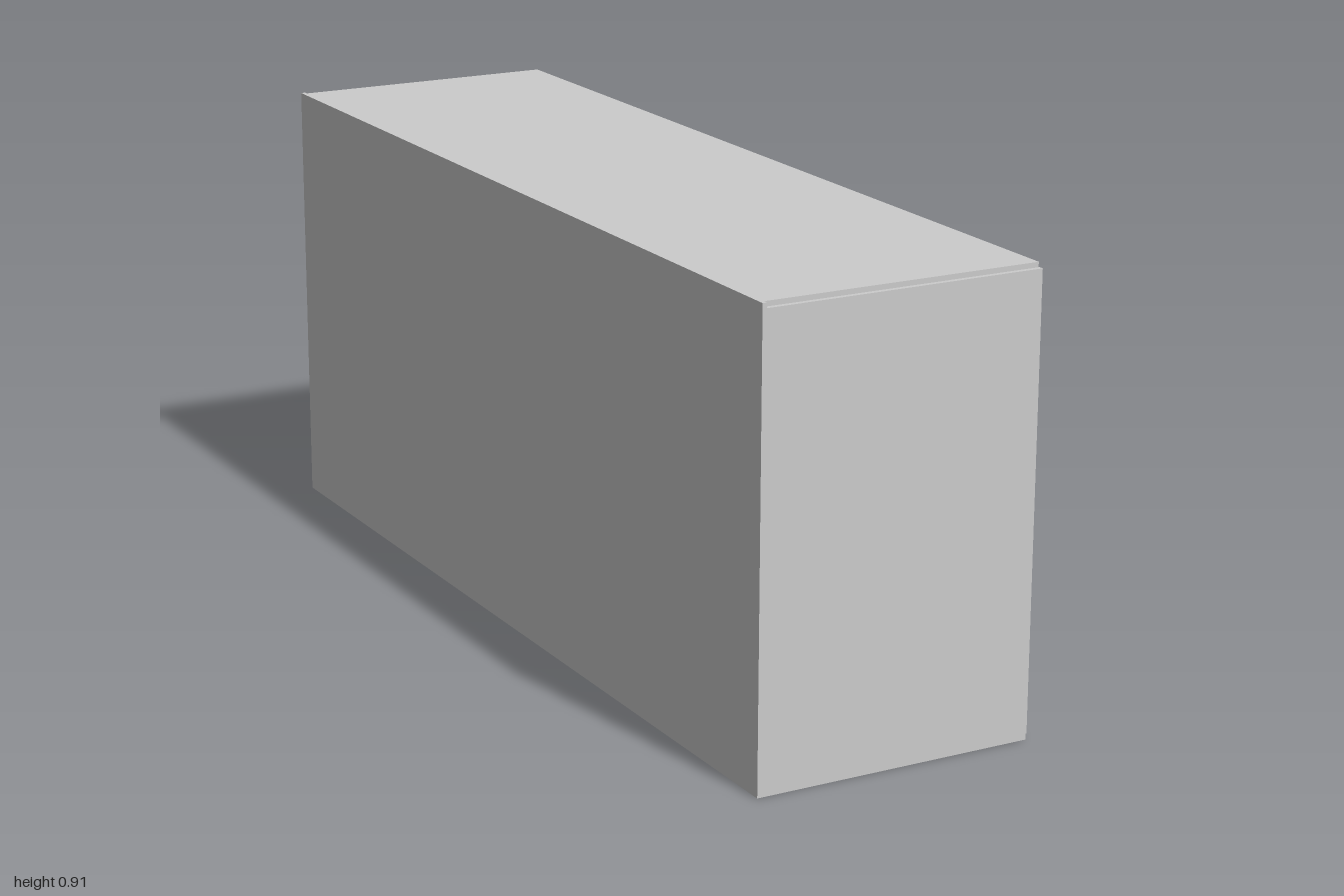
import * as THREE from 'three';

const material = new THREE.MeshStandardMaterial({ color: 0xcccccc, flatShading: true });

export function createModel() {
  const group = new THREE.Group();
  group.name = 'sideboard';

  // Board given by its minimum and maximum corners
  const board = (name, [x0, y0, z0], [x1, y1, z1]) => {
    const mesh = new THREE.Mesh(new THREE.BoxGeometry(x1 - x0, y1 - y0, z1 - z0), material);
    mesh.position.set((x0 + x1) / 2, (y0 + y1) / 2, (z0 + z1) / 2);
    mesh.name = name;
    group.add(mesh);
  };

  // Carcass: boards butt together, leaving small rebates at the end edges
  const back = -0.297, inner = -0.288, face = 0.277, t = 0.01, H = 0.91;
  board('backPanel', [back, 0, -1], [inner, H, 1]);
  board('topPanel', [inner, H - t, -1 + t], [face, H, 1 - t]);
  board('bottomPanel', [inner, 0, -1 + t], [face, t, 1]);
  board('endPanel', [inner, t, 1 - t], [face, H - t, 1]);
  board('endPanel', [inner, t, -1], [face, H - t, -1 + t]);

  // Doors and drawer fronts
  const front = 0.279, split = -0.333, y0 = 0.012, y1 = 0.9;
  board('door', [0.268, y0, 0.333], [front, y1, 1]);
  board('door', [0.268, y0, split], [front, y1, 0.3325]);
  board('drawerFront', [0.268, y0, -1], [front, 0.455, split - 0.0005]);
  board('drawerFront', [0.268, 0.457, -1], [front, y1, split - 0.0005]);

  // Bracket handles: bar with two tapered feet, extruded upwards
  const handle = (name, z, y, length, height, out) => {
    const a = length / 2, d = out - front;
    const shape = new THREE.Shape([
      [-a, 0], [-a + 0.028, 0], [-a + 0.018, d - 0.004], [a - 0.018, d - 0.004],
      [a - 0.028, 0], [a, 0], [a, d], [-a, d],
    ].map(([u, v]) => new THREE.Vector2(u, v)));
    const geometry = new THREE.ExtrudeGeometry(shape, { depth: height, bevelEnabled: false });
    geometry.applyMatrix4(new THREE.Matrix4().makeBasis(
      new THREE.Vector3(0, 0, 1), new THREE.Vector3(1, 0, 0), new THREE.Vector3(0, 1, 0)));
    const mesh = new THREE.Mesh(geometry, material);
    mesh.position.set(front, y - height / 2, z);
    mesh.name = name;
    group.add(mesh);
  };
  for (const z of [0.485, 0.19]) handle('doorHandle', z, 0.793, 0.186, 0.018, 0.293);
  for (const y of [0.673, 0.232]) handle('drawerHandle', -0.672, y, 0.264, 0.027, 0.291);

  return group;
}
